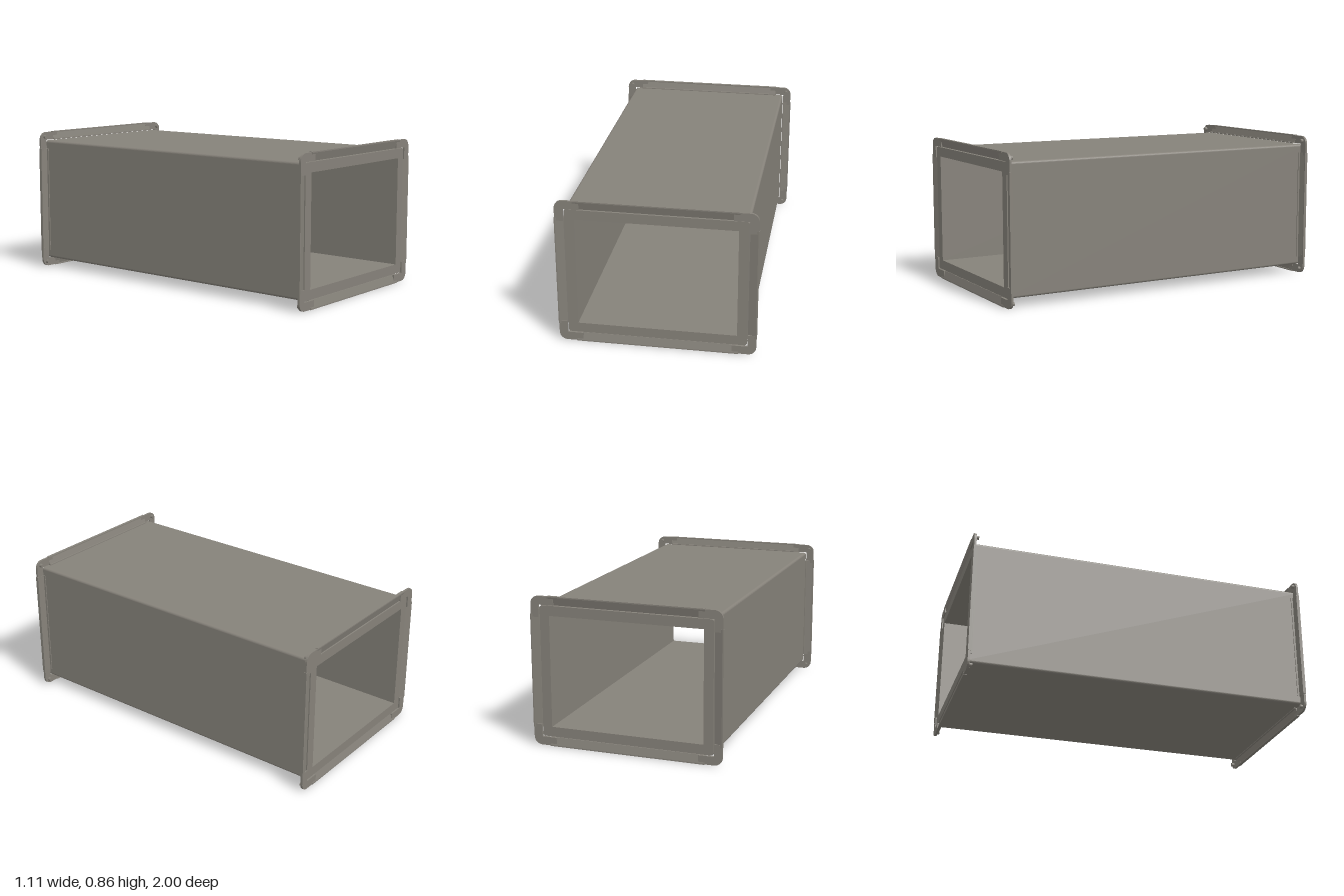
import * as THREE from 'three';

const W = 0.498, H = 0.373, CY = 0.4275; // half width, half height and centre of the duct
const FACE = 0.992;                      // z of the duct's end face

function roundedRect(Target, w, h, r) {
  const s = new Target();
  s.moveTo(w - r, -h);
  s.absarc(w - r, -h + r, r, -Math.PI / 2, 0, false);
  s.absarc(w - r, h - r, r, 0, Math.PI / 2, false);
  s.absarc(-w + r, h - r, r, Math.PI / 2, Math.PI, false);
  s.absarc(-w + r, -h + r, r, Math.PI, Math.PI * 1.5, false);
  s.closePath();
  return s;
}

export function createModel() {
  const group = new THREE.Group();
  const steel = new THREE.MeshStandardMaterial({ color: 0x86827a });
  steel.name = 'galvanised grey';

  const add = (parent, geometry, name) => {
    const mesh = new THREE.Mesh(geometry, steel);
    mesh.name = name;
    parent.add(mesh);
    return mesh;
  };

  // Thick-walled rectangular duct, open at both ends
  const section = roundedRect(THREE.Shape, W, H, 0.014);
  const bore = new THREE.Path();
  bore.moveTo(-0.443, -0.317);
  bore.lineTo(-0.443, 0.317);
  bore.lineTo(0.443, 0.317);
  bore.lineTo(0.443, -0.317);
  bore.closePath();
  section.holes.push(bore);
  const duct = new THREE.ExtrudeGeometry(section, { depth: FACE * 2, bevelEnabled: false, curveSegments: 5 });
  duct.translate(0, CY, -FACE);
  add(group, duct, 'ductBody');

  // Flange rail section: u runs outward from the duct wall, v along the duct
  const railShape = new THREE.Shape([
    [0.004, 0.968], [0.009, 0.968], [0.009, 0.979], [0.048, 0.99], [0.048, 0.982],
    [0.0545, 0.982], [0.0545, 1], [0.048, 1], [0.004, 0.988],
  ].map(([u, v]) => new THREE.Vector2(u, v)));

  const rail = (dx, dy, half, length) => {
    const g = new THREE.ExtrudeGeometry(railShape, { depth: length, bevelEnabled: false });
    g.translate(half, 0, -length / 2);
    const out = new THREE.Vector3(dx, dy, 0), along = new THREE.Vector3(0, 0, 1);
    const side = new THREE.Vector3().crossVectors(out, along);
    return g.applyMatrix4(new THREE.Matrix4().makeBasis(out, along, side));
  };

  // L-shaped corner plate with a rounded outer corner, mirrored by the signs
  const cornerPlate = (sx, sy) => {
    const x0 = W + 0.005, y0 = H + 0.004, x1 = W + 0.052, y1 = H + 0.052, r = 0.045;
    const s = new THREE.Shape();
    s.moveTo(sx * 0.415, sy * y0);
    s.lineTo(sx * x0, sy * y0);
    s.lineTo(sx * x0, sy * 0.307);
    s.lineTo(sx * x1, sy * 0.307);
    for (let i = 0; i <= 8; i++) {
      const a = (i / 8) * Math.PI / 2;
      s.lineTo(sx * (x1 - r + r * Math.cos(a)), sy * (y1 - r + r * Math.sin(a)));
    }
    s.lineTo(sx * 0.415, sy * y1);
    s.closePath();
    const g = new THREE.ExtrudeGeometry(s, { depth: 0.013, bevelEnabled: false });
    return g.translate(0, 0, 0.985);
  };

  // One flange frame per end
  for (const [name, turn] of [['frontFlange', 0], ['backFlange', Math.PI]]) {
    const flange = new THREE.Group();
    flange.name = name;
    flange.position.y = CY;
    flange.rotation.y = turn;
    for (const s of [-1, 1]) {
      add(flange, rail(0, s, H, 0.9), s > 0 ? 'topRail' : 'bottomRail');
      add(flange, rail(s, 0, W, 0.648), s > 0 ? 'leftRail' : 'rightRail');
      for (const t of [-1, 1]) {
        add(flange, cornerPlate(s, t), 'cornerPlate');
        // Bolt boss on the inner side of the corner
        const boss = new THREE.CylinderGeometry(0.011, 0.011, 0.018, 16);
        boss.rotateX(Math.PI / 2);
        add(flange, boss, 'cornerBolt').position.set(s * (W + 0.022), t * (H + 0.024), 0.977);
      }
    }
    group.add(flange);
  }
  return group;
}
